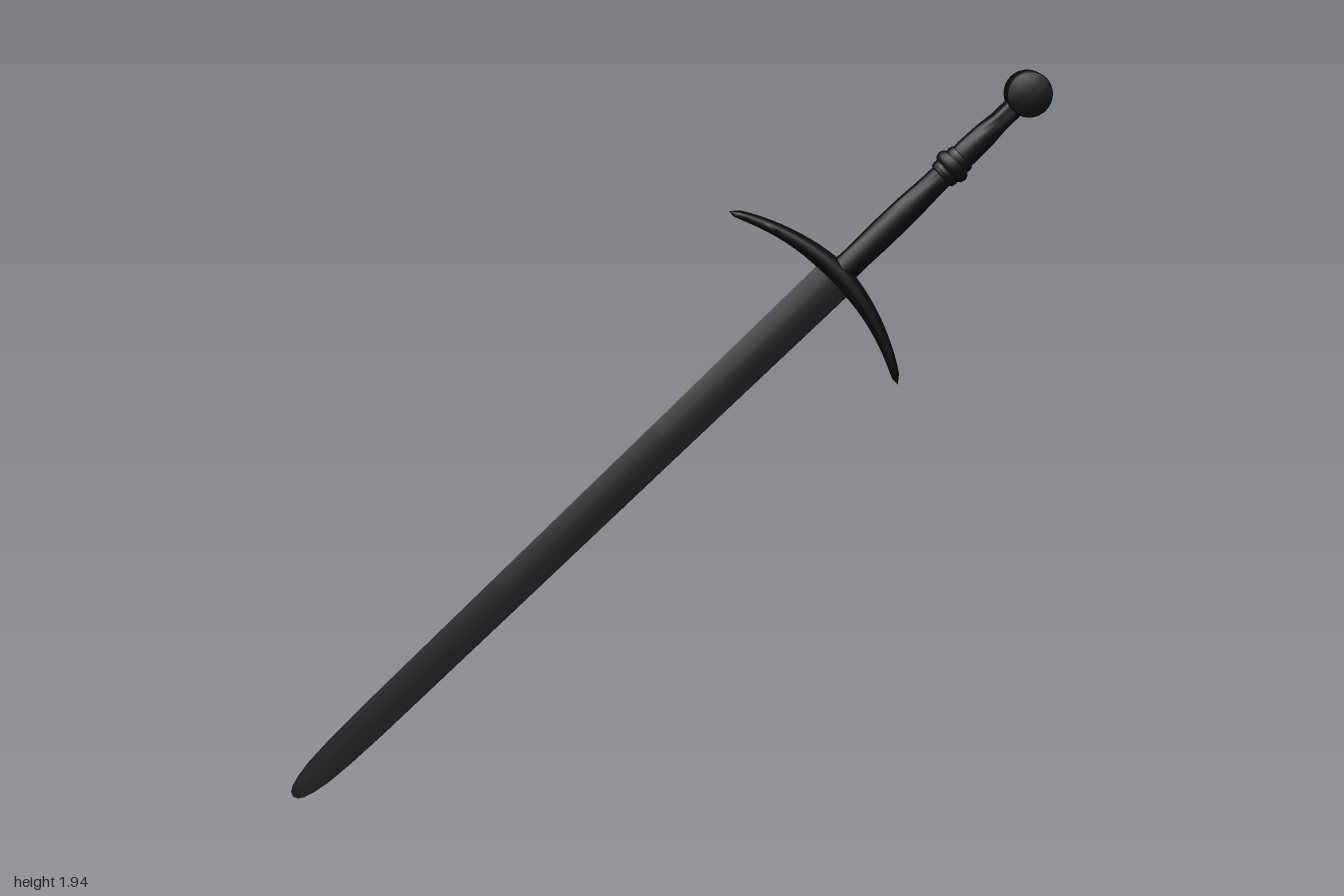
import * as THREE from 'three';
import { toCreasedNormals } from 'three/addons/utils/BufferGeometryUtils.js';

// Skin a stack of cross-sections along y; each section is [y, halfWidth, halfDepth].
// outline lists unit [x, z] corners going from +x towards +z.
function loft(sections, outline, crease) {
  const n = outline.length, pos = [], index = [];
  sections.forEach(([y, w, d]) => outline.forEach(([x, z]) => pos.push(x * w, y, z * d)));
  for (let j = 0; j < sections.length - 1; j++) {
    for (let i = 0; i < n; i++) {
      const a = j * n + i, b = j * n + (i + 1) % n;
      index.push(b, a, a + n, b, a + n, b + n);
    }
  }
  const g = new THREE.BufferGeometry();
  g.setAttribute('position', new THREE.Float32BufferAttribute(pos, 3));
  g.setIndex(index);
  return toCreasedNormals(g, crease);
}

function ellipse(n) {
  return Array.from({ length: n }, (_, i) => {
    const a = (i / n) * Math.PI * 2;
    return [Math.cos(a), Math.sin(a)];
  });
}

export function createModel() {
  const steel = new THREE.MeshStandardMaterial({ color: 0x1c1c1c });
  const dark = new THREE.MeshStandardMaterial({ color: 0x0c0c0c });

  const sword = new THREE.Group();
  sword.name = 'sword';
  const add = (name, geometry, material) => {
    const mesh = new THREE.Mesh(geometry, material);
    mesh.name = name;
    sword.add(mesh);
    return mesh;
  };

  // Blade: thin lens section, tapering in depth to a rounded point
  const lens = [[1, 0], [0.4, 0.85], [0, 1], [-0.4, 0.85], [-1, 0], [-0.4, -0.85], [0, -1], [0.4, -0.85]];
  const bladeWidths = [
    [0, 0], [0.006, 0.013], [0.02, 0.022], [0.05, 0.031], [0.1, 0.039],
    [0.18, 0.044], [0.3, 0.047], [0.8, 0.05], [1.4, 0.053], [2.03, 0.057],
  ];
  add('blade', loft(bladeWidths.map(([y, w]) => [y, w, w && 0.0015 + 0.0055 * y]), lens, 0.5), steel);

  // Crossguard: straight tapered bar, then bent towards the blade
  const bar = [];
  for (let i = 0; i <= 32; i++) {
    const t = i / 16 - 1;
    const k = Math.abs(t);
    const end = Math.sqrt(Math.max(0, 1 - Math.pow(k, 24)));
    bar.push([0.318 * t, (0.029 - 0.017 * k) * end, (0.029 - 0.007 * k * k) * end]);
  }
  const guard = loft(bar, ellipse(16), 0.9);
  guard.rotateZ(-Math.PI / 2);
  const p = guard.attributes.position;
  for (let i = 0; i < p.count; i++) {
    const x = p.getX(i);
    p.setY(i, p.getY(i) + 2.025 - 0.9 * x * x);
  }
  guard.computeVertexNormals();
  add('crossguard', toCreasedNormals(guard, 0.9), dark);

  // Grip: two swelling halves of oval section
  const grip = [
    [2.02, 0.038, 0.024], [2.08, 0.036, 0.022], [2.18, 0.038, 0.023], [2.27, 0.037, 0.022],
    [2.35, 0.033, 0.02], [2.43, 0.032, 0.02], [2.48, 0.035, 0.021], [2.54, 0.033, 0.019],
    [2.59, 0.028, 0.017], [2.66, 0.028, 0.017],
  ];
  add('grip', loft(grip, ellipse(20), 1), dark);

  // Collar rings around the middle of the grip
  const collar = [
    [2.385, 0.03, 0.018], [2.39, 0.038, 0.023], [2.4, 0.04, 0.024], [2.408, 0.039, 0.023],
    [2.413, 0.046, 0.026], [2.425, 0.05, 0.028], [2.437, 0.046, 0.026],
    [2.442, 0.039, 0.023], [2.45, 0.04, 0.024], [2.46, 0.038, 0.023], [2.465, 0.03, 0.018],
  ];
  add('gripCollar', loft(collar, ellipse(20), 0.6), dark);

  // Pommel: thick wheel with gently raised faces
  const half = [[0, 0.042], [0.022, 0.042], [0.04, 0.039], [0.056, 0.035], [0.059, 0.031]];
  const profile = [
    ...half.map(([r, y]) => new THREE.Vector2(r, -y)),
    ...half.slice().reverse().map(([r, y]) => new THREE.Vector2(r, y)),
  ];
  const wheel = new THREE.LatheGeometry(profile, 32);
  wheel.rotateX(Math.PI / 2);
  wheel.translate(0, 2.692, 0);
  add('pommel', toCreasedNormals(wheel, 0.5), dark);

  // Lean the sword onto the diagonal, point down
  sword.rotation.z = -Math.atan2(1.93, 1.88);
  sword.position.set(-0.99, 0.008, 0);

  const model = new THREE.Group();
  model.add(sword);
  return model;
}
